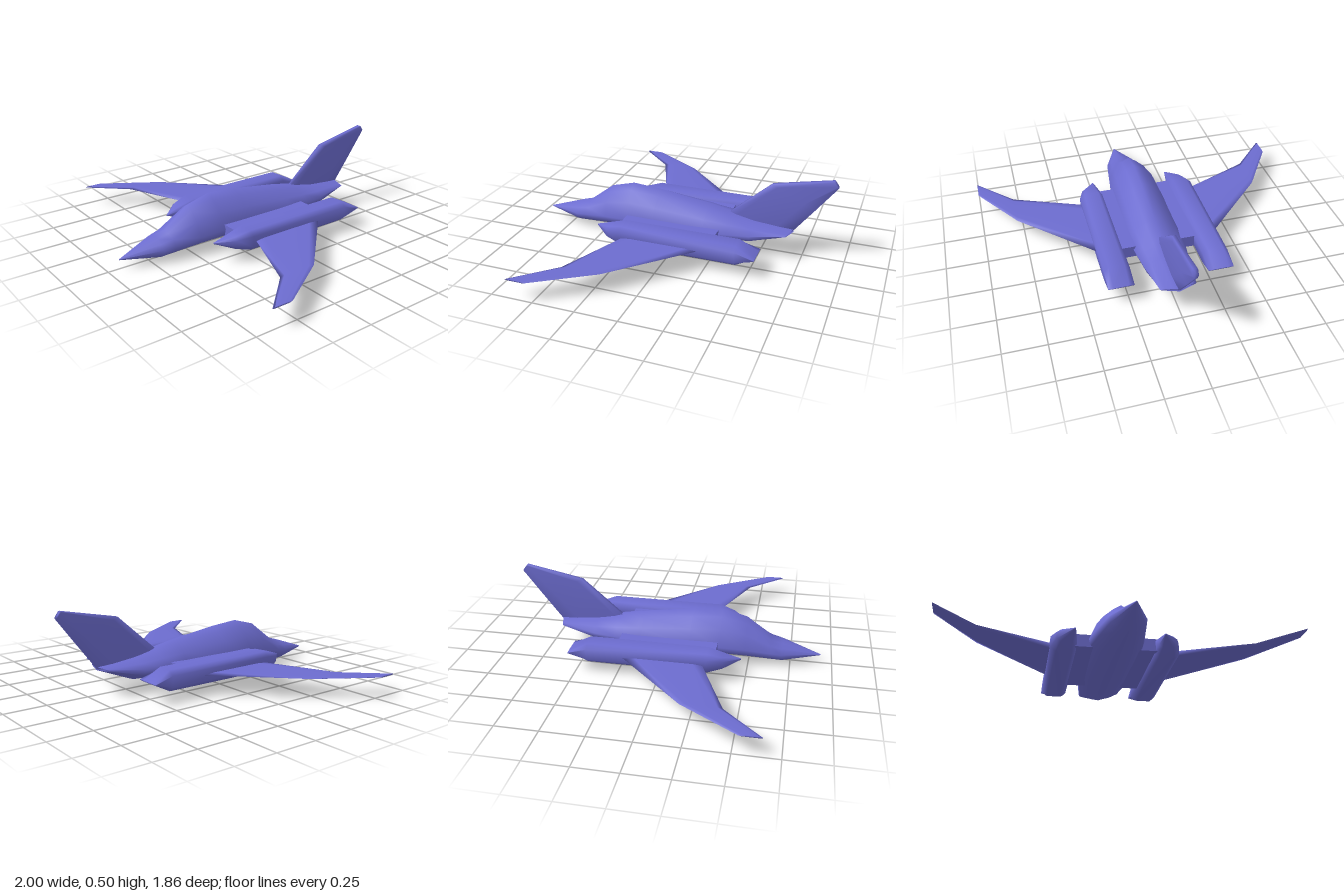
import * as THREE from 'three';

// Skin a list of equal-length rings of [x, y, z] points and close both ends.
function loft(rings) {
  const n = rings[0].length, pos = [], idx = [];
  rings.forEach(r => r.forEach(p => pos.push(...p)));
  for (let i = 0; i < rings.length - 1; i++) {
    for (let j = 0; j < n; j++) {
      const a = i * n + j, b = i * n + (j + 1) % n;
      idx.push(a, b, b + n, a, b + n, a + n);
    }
  }
  [0, rings.length - 1].forEach(k => {
    const c = pos.length / 3;
    pos.push(...[0, 1, 2].map(d => rings[k].reduce((s, p) => s + p[d], 0) / n));
    for (let j = 0; j < n; j++) {
      const a = k * n + j, b = k * n + (j + 1) % n;
      if (k === 0) idx.push(c, b, a); else idx.push(c, a, b);
    }
  });
  // Signed volume tells whether the faces point outwards.
  const v = i => new THREE.Vector3().fromArray(pos, i * 3);
  let volume = 0;
  for (let i = 0; i < idx.length; i += 3) volume += v(idx[i]).dot(v(idx[i + 1]).cross(v(idx[i + 2])));
  if (volume < 0) idx.reverse();
  const g = new THREE.BufferGeometry();
  g.setAttribute('position', new THREE.Float32BufferAttribute(pos, 3));
  g.setIndex(idx);
  g.computeVertexNormals();
  return g;
}

// Fuselage section: V keel, widest at mid height, rounded spine.
function hullRing([z, w, top, mid, bottom, sweep = 0]) {
  const up = t => mid + t * (top - mid), down = t => mid + t * (bottom - mid);
  const half = [[0.33, up(0.83)], [0.74, up(0.52)], [1, mid], [0.92, down(0.4)], [0.55, down(0.7)]];
  const pts = [[0, top], ...half, [0, bottom], ...half.slice().reverse().map(([x, y]) => [-x, y])];
  return pts.map(([x, y]) => [x * w, y, z - sweep * (1 - Math.abs(x))]);
}

// Engine pod section: octagon between x0 and x1, half height h.
function podRing([z, x0, x1, h], side) {
  const c = 0.12, cut = (x1 - x0) * 0.2, k = h * 0.55;
  return [[x0 + cut, c + h], [x1 - cut, c + h], [x1, c + k], [x1, c - k],
    [x1 - cut, c - h], [x0 + cut, c - h], [x0, c - k], [x0, c + k]].map(([x, y]) => [x * side, y, z]);
}

// Wing section at x, from leading edge z0 to trailing edge z1.
function wingRing([x, z0, z1, t], side) {
  const at = f => z0 + (z1 - z0) * f;
  return [[0, 0], [0.12, t], [0.5, t], [0.85, t], [1, 0], [0.85, -t], [0.5, -t], [0.12, -t]]
    .map(([f, dy]) => [x * side, 0.12 + dy, at(f)]);
}

// Fin section from a front point to a back point [z, y].
function finRing([front, back, t]) {
  const mix = (f, i) => front[i] + (back[i] - front[i]) * f;
  return [[0, 0.6], [0.12, 1], [0.75, 1], [1, 0.45], [1, -0.45], [0.75, -1], [0.12, -1], [0, -0.6]]
    .map(([f, k]) => [k * t, mix(f, 1), mix(f, 0)]);
}

export function createModel() {
  const model = new THREE.Group();
  const violet = new THREE.MeshStandardMaterial({ color: 0x6c6ccf });
  const add = (name, geometry) => {
    const mesh = new THREE.Mesh(geometry, violet);
    mesh.name = name;
    model.add(mesh);
    return mesh;
  };

  // Stations: z, half width, top, mid, bottom, centre sweep
  add('fuselage', loft([
    [0.93, 0.003, 0.063, 0.06, 0.057],
    [0.70, 0.10, 0.14, 0.085, 0.005],
    [0.63, 0.112, 0.16, 0.095, 0.009],
    [0.48, 0.135, 0.275, 0.115, 0.018],
    [0.33, 0.158, 0.315, 0.13, 0.027],
    [0.15, 0.163, 0.30, 0.13, 0.033],
    [-0.17, 0.165, 0.255, 0.13, 0.042],
    [-0.31, 0.152, 0.225, 0.135, 0.048],
    [-0.45, 0.135, 0.195, 0.14, 0.056],
    [-0.66, 0.105, 0.168, 0.16, 0.15, 0.03],
  ].map(hullRing)));

  // Tail fin swept up and back
  add('tailFin', loft([
    [[-0.29, 0.215], [-0.68, 0.15], 0.018],
    [[-0.55, 0.44], [-0.81, 0.315], 0.018],
    [[-0.90, 0.51], [-0.93, 0.47], 0.017],
  ].map(finRing)));

  for (const [label, side] of [['left', 1], ['right', -1]]) {
    // Pods with a pointed nose and a wedge tail
    add(label + 'EnginePod', loft([
      [0.47, 0.248, 0.254, 0.003],
      [0.37, 0.234, 0.342, 0.036],
      [0.28, 0.22, 0.372, 0.06],
      [-0.43, 0.22, 0.372, 0.06],
      [-0.545, 0.22, 0.372, 0.003],
    ].map(s => podRing(s, side))));

    // Pylon between fuselage and pod
    const pylon = add(label + 'Pylon', new THREE.BoxGeometry(0.16, 0.075, 0.59));
    pylon.position.set(0.17 * side, 0.12, 0.025);

    // Forward-swept wing with a hooked tip
    add(label + 'Wing', loft([
      [0.35, 0.252, -0.23, 0.006],
      [0.37, 0.26, -0.21, 0.006],
      [0.785, 0.43, 0.20, 0.006],
      [1.0, 0.655, 0.53, 0.004],
    ].map(s => wingRing(s, side))));
  }
  return model;
}
